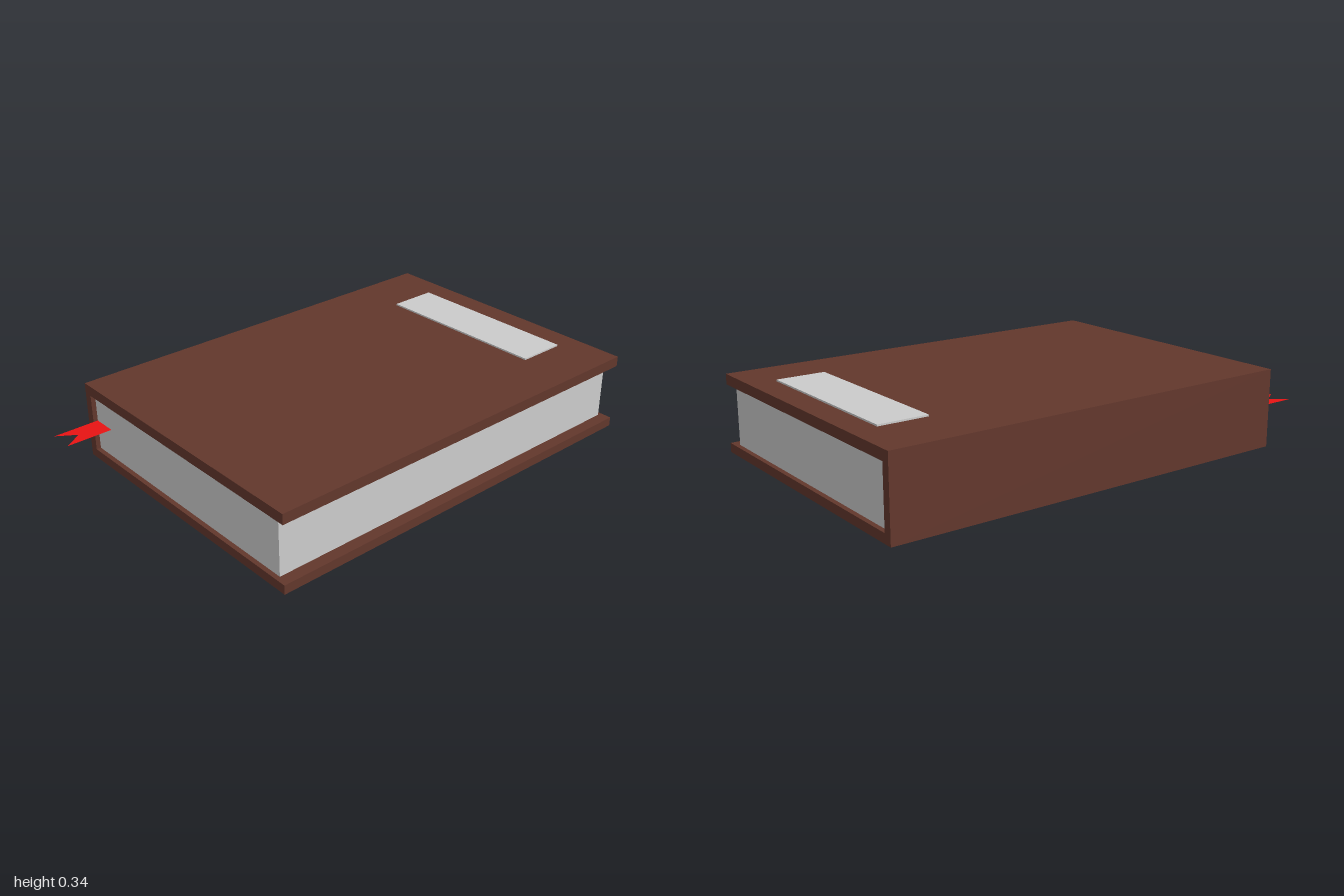
import * as THREE from 'three';

const mat = (color, side = THREE.FrontSide) => new THREE.MeshStandardMaterial({ color, side });

// Box given by its min and max corners
function block(name, min, max, material) {
  const size = max.map((v, i) => v - min[i]);
  const mesh = new THREE.Mesh(new THREE.BoxGeometry(...size), material);
  mesh.position.set(...max.map((v, i) => (v + min[i]) / 2));
  mesh.name = name;
  return mesh;
}

export function createModel() {
  const book = new THREE.Group();
  book.name = 'book';
  const leather = mat(0x62372c);
  const grey = mat(0xcccccc);

  // Cover: one C-shaped section (spine on the right) run along the book's height
  const section = new THREE.Shape([
    [-0.637, 0], [0.637, 0], [0.637, 0.039], [-0.6, 0.039],
    [-0.6, 0.288], [0.637, 0.288], [0.637, 0.332], [-0.637, 0.332],
  ].map(([x, y]) => new THREE.Vector2(x, y)));
  const cover = new THREE.Mesh(
    new THREE.ExtrudeGeometry(section, { depth: 1.82, bevelEnabled: false }), leather);
  cover.position.z = -1;
  cover.name = 'cover';
  book.add(cover);

  // Page block, set back from the cover edges
  book.add(block('pages', [-0.6, 0.039, -0.98], [0.587, 0.288, 0.8], grey));

  // Title plate on the top cover
  book.add(block('titlePlate', [-0.38, 0.33, -0.89], [0.4, 0.339, -0.68], grey));

  // Flat ribbon bookmark with a notched end
  const ribbon = new THREE.Shape([
    [-0.6, 0.7], [-0.495, 0.7], [-0.495, 1], [-0.547, 0.92], [-0.6, 1],
  ].map(([x, z]) => new THREE.Vector2(x, z)));
  const bookmark = new THREE.Mesh(
    new THREE.ShapeGeometry(ribbon).rotateX(Math.PI / 2), mat(0xe81313, THREE.DoubleSide));
  bookmark.position.y = 0.168;
  bookmark.name = 'bookmark';
  book.add(bookmark);

  return book;
}
